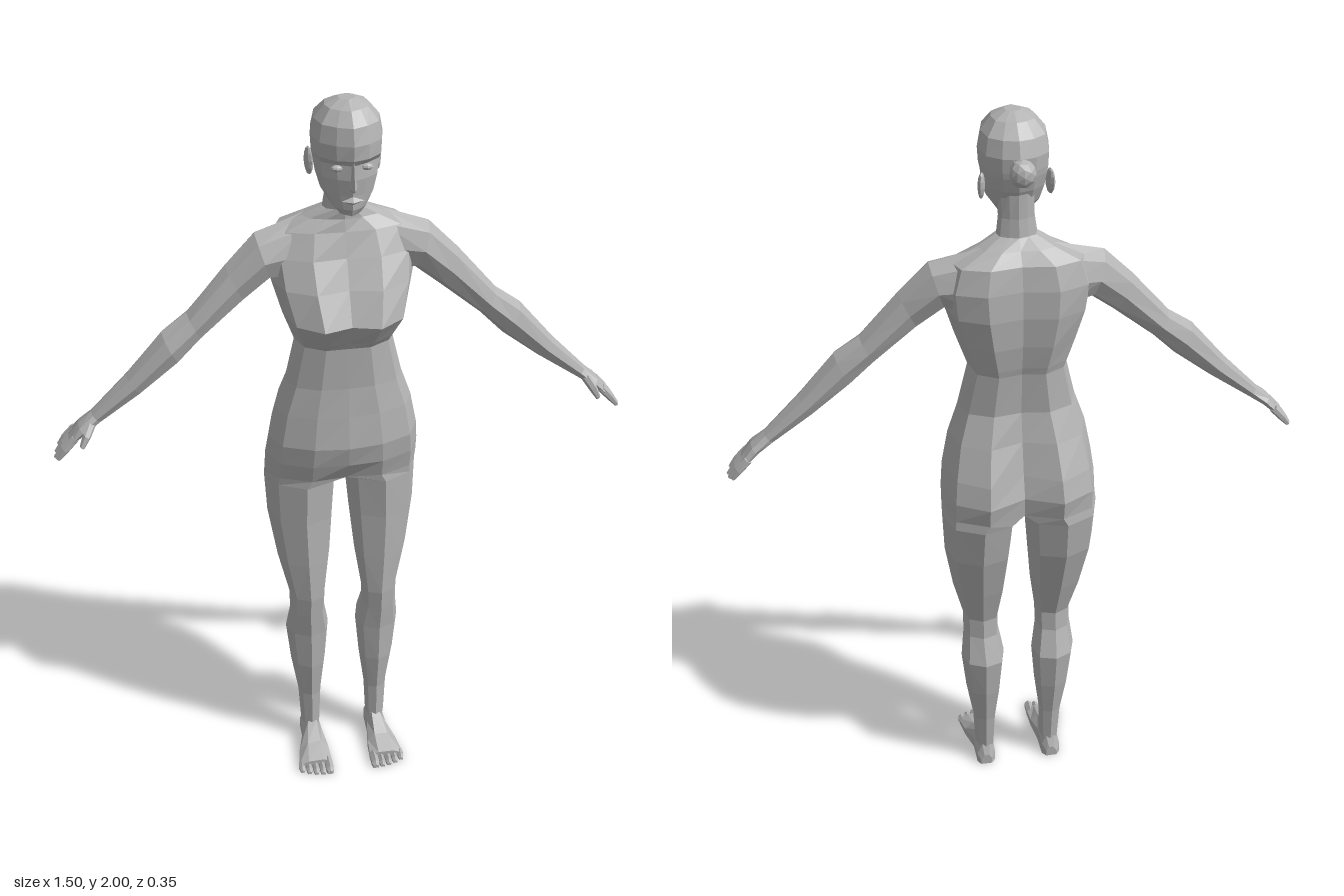
import * as THREE from 'three';

const V = (x, y, z) => new THREE.Vector3(x, y, z);
const mix = THREE.MathUtils.lerp;

// Skin closed rings into a faceted solid, capped at both ends, facing outwards
function loft(rings) {
  const tris = [];
  const n = rings[0].length;
  for (let i = 0; i < rings.length - 1; i++) {
    for (let j = 0; j < n; j++) {
      const k = (j + 1) % n;
      const a = rings[i][j], b = rings[i][k], c = rings[i + 1][k], d = rings[i + 1][j];
      tris.push([a, b, c], [a, c, d]);
    }
  }
  [rings[0], rings[rings.length - 1]].forEach((ring, end) => {
    const mid = ring.reduce((s, p) => s.add(p), V(0, 0, 0)).divideScalar(n);
    for (let j = 0; j < n; j++) {
      const a = ring[j], b = ring[(j + 1) % n];
      tris.push(end ? [mid, a, b] : [mid, b, a]);
    }
  });
  const volume = tris.reduce((s, [a, b, c]) => s + a.dot(b.clone().cross(c)), 0);
  if (volume < 0) tris.forEach((t) => t.reverse());
  const geo = new THREE.BufferGeometry().setFromPoints(tris.flat());
  geo.computeVertexNormals();
  return geo;
}

// Half of a body section, from front centre round the +x side to back centre
function halfSection([y, w, f, fs, b, bs]) {
  const zm = (f + b) / 2;
  return [
    V(0, y, f), V(w * 0.45, y, fs), V(w * 0.85, y, mix(zm, fs, 0.66)), V(w, y, zm),
    V(w * 0.87, y, mix(zm, bs, 0.7)), V(w * 0.47, y, bs), V(0, y, b),
  ];
}

function fullSection(row) {
  const half = halfSection(row);
  const other = half.slice(1, -1).reverse().map((p) => V(-p.x, p.y, p.z));
  return [...half, ...other];
}

// Eight-sided leg section between inner and outer x
function legSection([y, xi, xo, f, b]) {
  const zm = (f + b) / 2;
  const at = (t, z) => V(mix(xi, xo, t), y, z);
  return [
    at(0.12, mix(zm, f, 0.75)), at(0.48, f), at(0.85, mix(zm, f, 0.68)), at(1, zm),
    at(0.87, mix(zm, b, 0.7)), at(0.5, b), at(0.12, mix(zm, b, 0.8)), at(0, zm),
  ];
}

// Eight-sided arm section between a top point and a bottom point
function armSection([tx, ty, bx, by, f, b]) {
  return Array.from({ length: 8 }, (_, i) => {
    const a = (i / 8) * Math.PI * 2;
    const t = 0.5 - Math.cos(a) / 2;
    return V(mix(tx, bx, t), mix(ty, by, t), (f + b) / 2 + Math.sin(a) * (f - b) / 2);
  });
}

// Six-sided finger tapering along a list of [x, y, z, radius]
function fingerRings(points) {
  return points.map(([x, y, z, r]) => Array.from({ length: 6 }, (_, i) => {
    const a = (i / 6) * Math.PI * 2;
    return V(x + Math.cos(a) * r * 0.75, y + Math.cos(a) * r * 0.65, z + Math.sin(a) * r);
  }));
}

export function createModel() {
  const model = new THREE.Group();
  const skin = new THREE.MeshStandardMaterial({ color: 0xb4b4b4 });
  skin.name = 'clay grey';

  const add = (name, geo, parent = model) => {
    const mesh = new THREE.Mesh(geo, skin);
    mesh.name = name;
    parent.add(mesh);
    return mesh;
  };
  const flat = (geo) => {
    const g = geo.index ? geo.toNonIndexed() : geo;
    g.computeVertexNormals();
    return g;
  };

  // Torso and neck: [y, half width, front, front side, back, back side]
  const hip = [0.965, 0.206, 0.055, 0.063, -0.13, -0.165];
  add('torso', loft([
    hip,
    [1.02, 0.205, 0.085, 0.08, -0.135, -0.175],
    [1.08, 0.198, 0.1, 0.09, -0.115, -0.16],
    [1.17, 0.18, 0.088, 0.083, -0.095, -0.12],
    [1.25, 0.152, 0.08, 0.077, -0.08, -0.09],
    [1.365, 0.125, 0.08, 0.08, -0.085, -0.095],
    [1.385, 0.132, 0.09, 0.098, -0.09, -0.1],
    [1.45, 0.155, 0.128, 0.148, -0.1, -0.113],
    [1.53, 0.178, 0.088, 0.105, -0.105, -0.12],
    [1.6, 0.185, 0.055, 0.062, -0.1, -0.116],
    [1.66, 0.165, 0.035, 0.032, -0.088, -0.1],
    [1.69, 0.098, 0.028, 0.02, -0.065, -0.07],
    [1.715, 0.05, 0.03, 0.022, -0.047, -0.04],
    [1.76, 0.044, 0.035, 0.027, -0.042, -0.035],
    [1.83, 0.046, 0.05, 0.04, -0.04, -0.035],
  ].map(fullSection)));

  // Head
  const head = new THREE.Group();
  head.name = 'head';
  model.add(head);
  add('skull', loft([
    [1.738, 0.028, 0.118, 0.108, 0.035, 0.037],
    [1.755, 0.042, 0.126, 0.116, 0.01, 0.012],
    [1.79, 0.064, 0.128, 0.114, -0.025, -0.02],
    [1.83, 0.075, 0.133, 0.117, -0.045, -0.036],
    [1.865, 0.08, 0.13, 0.112, -0.055, -0.045],
    [1.88, 0.083, 0.14, 0.128, -0.058, -0.047],
    [1.915, 0.085, 0.143, 0.128, -0.06, -0.048],
    [1.955, 0.077, 0.134, 0.118, -0.046, -0.036],
    [1.985, 0.052, 0.105, 0.093, -0.012, -0.004],
    [2.0, 0.02, 0.07, 0.062, 0.025, 0.027],
  ].map(fullSection)), head);

  // Nose: half width grows from bridge to tip
  add('nose', loft([[1.88, 0.007, 0.138], [1.83, 0.012, 0.15], [1.812, 0.017, 0.156], [1.802, 0.012, 0.136]]
    .map(([y, w, z]) => [V(-w, y, 0.11), V(0, y, z), V(w, y, 0.11)])), head);
  const lips = add('lips', flat(new THREE.OctahedronGeometry(1)), head);
  lips.scale.set(0.027, 0.01, 0.014);
  lips.position.set(0, 1.78, 0.127);

  const bun = add('hairBun', flat(new THREE.IcosahedronGeometry(1, 1)), head);
  bun.scale.set(0.032, 0.034, 0.027);
  bun.position.set(0, 1.895, -0.09);
  const bunTie = add('hairBunBase', flat(new THREE.CylinderGeometry(0.016, 0.026, 0.04, 8)), head);
  bunTie.rotation.x = -Math.PI / 2;
  bunTie.position.set(0, 1.895, -0.062);

  for (const [side, s] of [['left', 1], ['right', -1]]) {
    const put = (name, rings, parent) =>
      add(name, loft(rings.map((r) => r.map((p) => V(p.x * s, p.y, p.z)))), parent);

    const eye = add(side + 'Eye', flat(new THREE.SphereGeometry(1, 8, 6)), head);
    eye.scale.set(0.015, 0.008, 0.01);
    eye.position.set(s * 0.035, 1.857, 0.115);
    const ear = add(side + 'Ear', flat(new THREE.SphereGeometry(1, 8, 6)), head);
    ear.scale.set(0.009, 0.034, 0.02);
    ear.position.set(s * 0.082, 1.835, 0.0);
    ear.rotation.set(-0.15, s * -0.25, 0);

    // Arm: [top x, top y, bottom x, bottom y, front, back]
    put(side + 'Arm', [
      [0.09, 1.692, 0.11, 1.52, 0.03, -0.095],
      [0.215, 1.655, 0.18, 1.535, 0.045, -0.07],
      [0.29, 1.58, 0.245, 1.485, 0.04, -0.05],
      [0.39, 1.465, 0.355, 1.395, 0.043, -0.04],
      [0.455, 1.42, 0.415, 1.335, 0.052, -0.036],
      [0.55, 1.31, 0.515, 1.258, 0.045, -0.028],
      [0.645, 1.213, 0.62, 1.185, 0.033, -0.018],
      [0.68, 1.183, 0.66, 1.16, 0.046, -0.028],
      [0.708, 1.148, 0.692, 1.135, 0.046, -0.036],
    ].map(armSection));

    // Fingers and thumb
    const hand = new THREE.Group();
    hand.name = side + 'Fingers';
    model.add(hand);
    [[0.036, 0.93], [0.015, 1.05], [-0.007, 1], [-0.028, 0.85]].forEach(([z, l], i) => {
      put('finger' + (i + 1), fingerRings([
        [0.69, 1.152, z * 0.9, 0.011], [0.69 + 0.03 * l, 1.152 - 0.032 * l, z, 0.01],
        [0.69 + 0.052 * l, 1.152 - 0.059 * l, z, 0.006],
      ]), hand);
    });
    put('thumb', fingerRings([
      [0.645, 1.19, 0.025, 0.013], [0.66, 1.168, 0.05, 0.012], [0.675, 1.14, 0.06, 0.007],
    ]), hand);

    // Leg: [y, inner x, outer x, front, back], joined to the hip section
    put(side + 'Leg', [
      [...halfSection(hip), V(0, hip[0], -0.04)],
      ...[
        [0.94, 0.012, 0.207, 0.06, -0.163],
        [0.82, 0.022, 0.202, 0.058, -0.142],
        [0.68, 0.035, 0.18, 0.06, -0.1],
        [0.56, 0.052, 0.152, 0.06, -0.06],
        [0.5, 0.054, 0.152, 0.054, -0.064],
        [0.42, 0.04, 0.162, 0.045, -0.094],
        [0.3, 0.05, 0.15, 0.04, -0.08],
        [0.18, 0.065, 0.131, 0.026, -0.058],
        [0.06, 0.07, 0.125, 0.025, -0.046],
      ].map(legSection),
    ]);

    // Foot: [z, inner x, outer x, height]
    put(side + 'Foot', [
      [-0.056, 0.083, 0.115, 0.035], [-0.042, 0.072, 0.125, 0.07], [0.02, 0.07, 0.126, 0.075],
      [0.08, 0.06, 0.145, 0.045], [0.138, 0.057, 0.156, 0.026],
    ].map(([z, a, b, h]) => [
      V(a, 0, z), V(a, h * 0.55, z), V(mix(a, b, 0.25), h, z),
      V(mix(a, b, 0.7), h * 0.95, z), V(b, h * 0.45, z), V(b, 0, z),
    ]));
    [0.174, 0.173, 0.17, 0.164, 0.155].forEach((tip, i) => {
      const x = 0.069 + i * 0.0195 - (i ? 0 : 0.001), w = i ? 0.008 : 0.011, h = i ? 0.02 : 0.026;
      put(side + 'Toe' + (i + 1), [[0.125, 1, 1], [tip - 0.01, 1, 0.9], [tip, 0.7, 0.5]].map(([z, k, v]) => [
        V(x - w * k, 0, z), V(x - w * k, h * v * 0.6, z), V(x, h * v, z), V(x + w * k, h * v * 0.6, z), V(x + w * k, 0, z),
      ]));
    });
  }
  return model;
}
